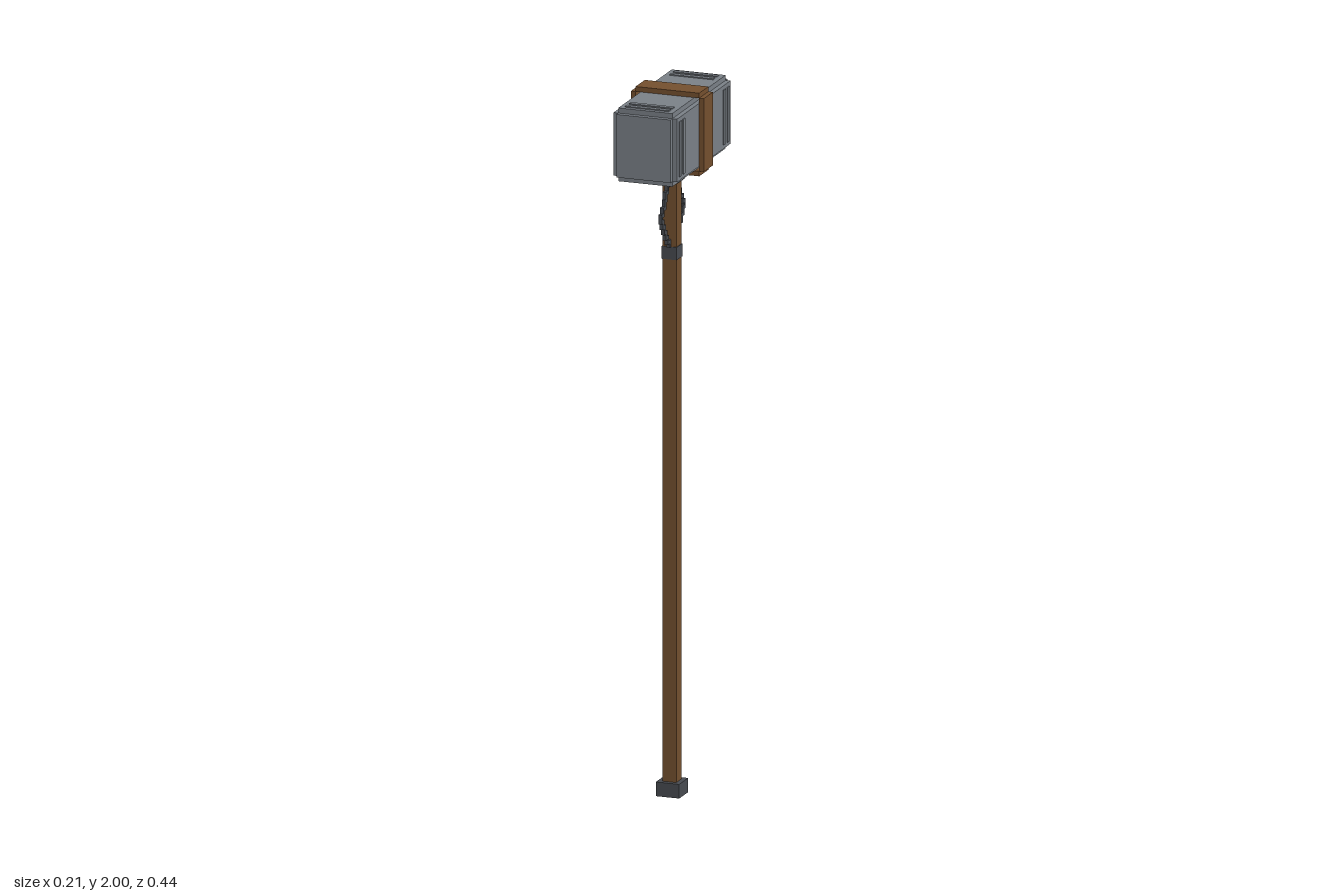
import * as THREE from 'three';

export function createModel() {
  const model = new THREE.Group();
  model.name = 'warHammer';

  const mat = (name, color) => {
    const m = new THREE.MeshStandardMaterial({ color });
    m.name = name;
    return m;
  };
  const steel = mat('steel', 0x7b8188);
  const iron = mat('darkIron', 0x484b51);
  const wood = mat('wood', 0x73502f);
  const leather = mat('leather', 0x75502f);

  const group = (name) => {
    const g = new THREE.Group();
    g.name = name;
    model.add(g);
    return g;
  };
  // Box given by full sizes and centre
  const box = (parent, name, material, w, h, d, x, y, z) => {
    const mesh = new THREE.Mesh(new THREE.BoxGeometry(w, h, d), material);
    mesh.name = name;
    mesh.position.set(x, y, z);
    parent.add(mesh);
    return mesh;
  };

  // Handle with pommel, grip bands and collar
  const handle = group('handle');
  box(handle, 'shaft', wood, 0.04, 1.73, 0.04, 0, 0.895, 0);
  box(handle, 'pommel', iron, 0.068, 0.04, 0.068, 0, 0.02, 0);
  box(handle, 'chainBand', iron, 0.044, 0.036, 0.044, 0, 1.535, 0);
  box(handle, 'collarLower', iron, 0.052, 0.02, 0.052, 0, 1.745, 0);
  box(handle, 'collarUpper', iron, 0.068, 0.028, 0.068, 0, 1.766, 0);

  // Head: three crossed boxes give stepped edges
  const head = group('head');
  const cy = 1.8825;
  box(head, 'headWide', steel, 0.185, 0.178, 0.408, 0, cy, 0);
  box(head, 'headTall', steel, 0.157, 0.207, 0.408, 0, cy, 0);
  box(head, 'headLong', steel, 0.157, 0.178, 0.437, 0, cy, 0);

  // Low ribs near both striking ends, on all four sides
  for (const end of [-1, 1]) {
    for (const rz of [0.155, 0.183]) {
      for (const s of [-1, 1]) {
        box(head, 'rib', steel, 0.127, 0.004, 0.015, 0, cy + s * 0.1045, end * rz);
        box(head, 'sideRib', steel, 0.004, 0.155, 0.015, s * 0.0935, cy, end * rz);
      }
    }
  }

  // Strap of four plates with open corners
  const strap = group('strap');
  for (const s of [-1, 1]) {
    box(strap, 'strapFlat', leather, 0.185, 0.014, 0.07, 0, cy + s * 0.1105, 0);
    box(strap, 'strapSide', leather, 0.0135, 0.207, 0.07, s * 0.09925, cy, 0);
  }

  // Stepped chains, one in front of and one behind the shaft
  const path = [
    [0.025, 1.738], [0.04, 1.722], [0.054, 1.702], [0.06, 1.682], [0.074, 1.664], [0.086, 1.648],
    [0.076, 1.63], [0.064, 1.612], [0.054, 1.594], [0.04, 1.576], [0.025, 1.562],
  ];
  const t = 0.01;
  for (const s of [-1, 1]) {
    const chain = group(s > 0 ? 'frontChain' : 'backChain');
    path.forEach(([z, y], i) => {
      box(chain, 'chainUpright', iron, t, 0.02, t, 0, y, s * z);
      if (i === 0) return;
      const [pz, py] = path[i - 1];
      box(chain, 'chainStep', iron, t, t, Math.abs(z - pz) + t, 0, (y + py) / 2, s * (z + pz) / 2);
    });
  }

  return model;
}
